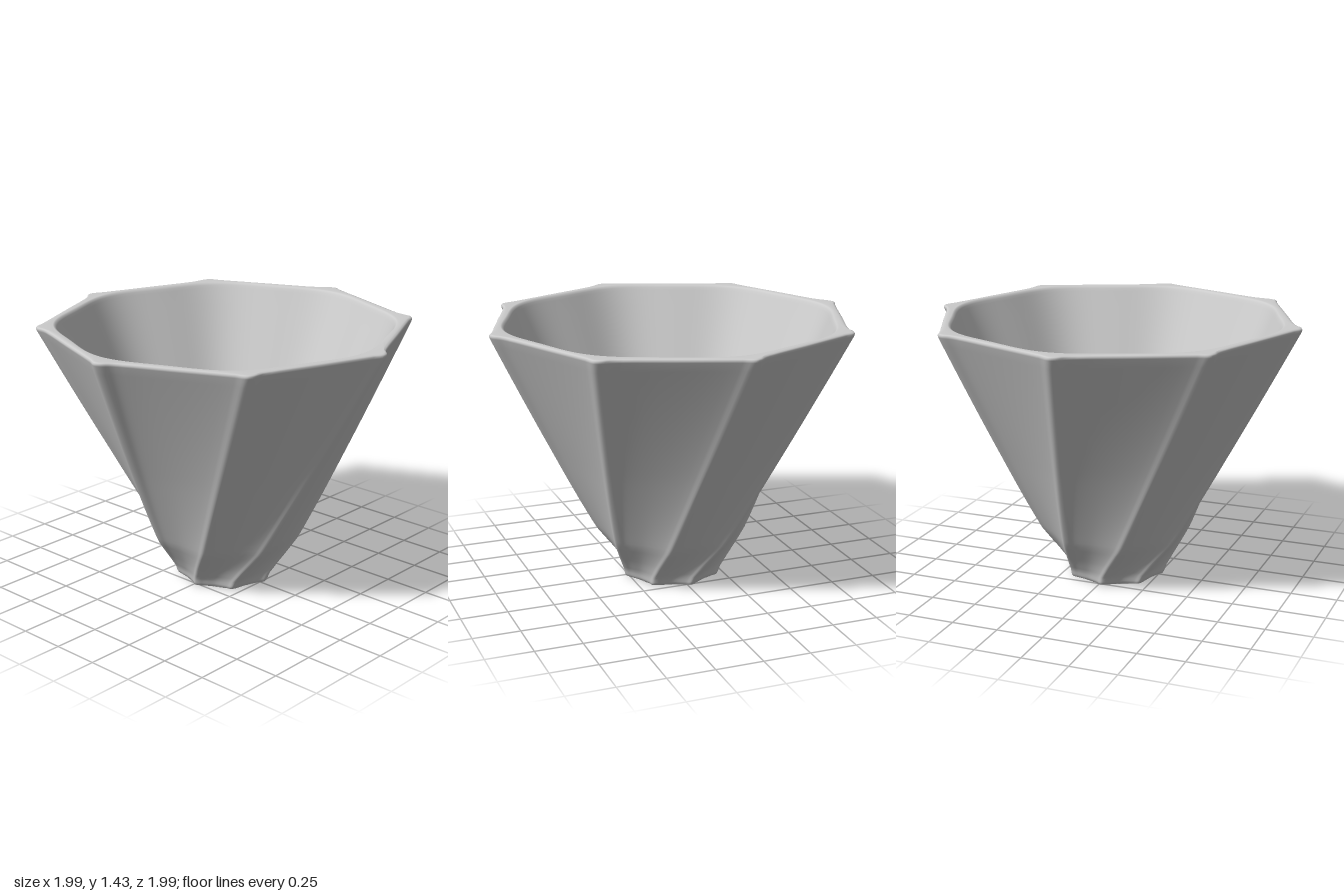
import * as THREE from 'three';

const SECTORS = 8, STEPS = 24, N = SECTORS * STEPS;
const RAD = Math.PI / 180;
const lerp = THREE.MathUtils.lerp;

// One sector of the outer section as [degrees from ridge, radius factor]
const topSector = [[0.8, 1.0], [-1.2, 0.992], [-3.6, 0.962], [-6.8, 0.942], [-22, 0.915], [-41, 0.974]];
const footSector = [[1, 1.0], [-4, 0.985], [-9, 0.95], [-15, 0.92], [-25, 0.895], [-38, 0.945]];

// Outer profile: [height, ridge radius]
const profile = [[0, 0.27], [0.05, 0.285], [0.12, 0.325], [0.25, 0.41], [0.71, 0.638], [1.43, 1.003]];
function ridgeRadius(y) {
  let i = 0;
  while (i < profile.length - 2 && y > profile[i + 1][0]) i++;
  const [a, b] = [profile[i], profile[i + 1]];
  return lerp(a[1], b[1], (y - a[0]) / (b[0] - a[0]));
}

// Ridged outer section, twisting faster as it narrows
function outerRing(y, inset = 0) {
  const r = ridgeRadius(y);
  const k = THREE.MathUtils.clamp((1 / r - 1) / 2.7, 0, 1);
  const turn = -3.6 + 45 * k;
  const points = [];
  for (let s = 0; s < SECTORS; s++) {
    topSector.forEach((p, i) => {
      const a = (turn - 45 * s + lerp(p[0], footSector[i][0], k)) * RAD;
      const d = r * lerp(p[1], footSector[i][1], k) - inset;
      points.push(new THREE.Vector3(d * Math.cos(a), y, d * Math.sin(a)));
    });
  }
  const curve = new THREE.CatmullRomCurve3(points, true, 'centripetal');
  return Array.from({ length: N }, (_, i) => curve.getPoint(i / N));
}

// Soft octagonal inner section without twist
function innerRing(y, r, shift) {
  return Array.from({ length: N }, (_, i) => {
    const a = (-3.6 + shift - (360 * i) / N) * RAD;
    const d = r * (1 + 0.02 * Math.cos(8 * a));
    return new THREE.Vector3(d * Math.cos(a), y, d * Math.sin(a));
  });
}

// Skin a closed chain of rings
function loft(rings) {
  const positions = [], index = [];
  rings.forEach(ring => ring.forEach(p => positions.push(p.x, p.y, p.z)));
  for (let j = 0; j < rings.length; j++) {
    const lower = j * N, upper = ((j + 1) % rings.length) * N;
    for (let i = 0; i < N; i++) {
      const n = (i + 1) % N;
      index.push(lower + i, lower + n, upper + n, lower + i, upper + n, upper + i);
    }
  }
  const geometry = new THREE.BufferGeometry();
  geometry.setAttribute('position', new THREE.Float32BufferAttribute(positions, 3));
  geometry.setIndex(index);
  geometry.computeVertexNormals();
  return geometry;
}

export function createModel() {
  const group = new THREE.Group();
  group.name = 'twistedFunnel';
  const rings = [];

  // Foot edge and outer wall
  rings.push(outerRing(0, 0.012), outerRing(0.004, 0.003));
  for (let j = 0; j <= 40; j++) rings.push(outerRing(0.015 + 1.395 * (j / 40) ** 1.4));

  // Rounded rim
  rings.push(outerRing(1.42, 0.003), outerRing(1.427, 0.011), outerRing(1.43, 0.024));
  rings.push(innerRing(1.43, 0.89, 0), innerRing(1.426, 0.88, 0), innerRing(1.415, 0.872, 0));

  // Inner wall down to the opening
  for (let j = 0; j <= 16; j++) {
    const t = j / 16;
    rings.push(innerRing(lerp(1.4, 0.008, t), lerp(0.866, 0.24, t), 45 * t));
  }
  rings.push(innerRing(0.001, 0.243, 45));

  const material = new THREE.MeshStandardMaterial({ color: 0xcccccc });
  const shell = new THREE.Mesh(loft(rings), material);
  shell.name = 'ridgedShell';
  group.add(shell);
  return group;
}
